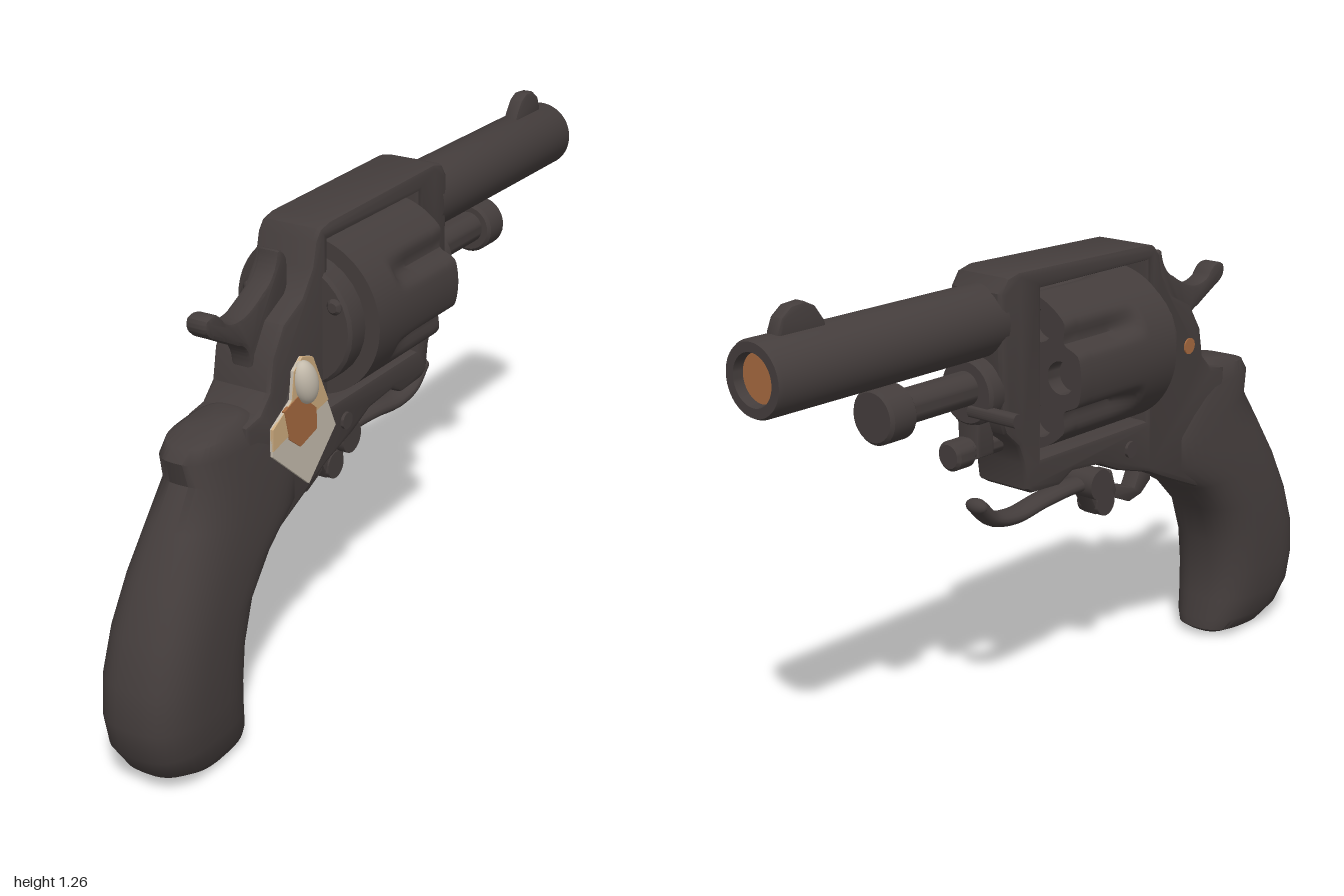
import * as THREE from 'three';
import { toCreasedNormals } from 'three/addons/utils/BufferGeometryUtils.js';

const mat = (name, color, extra = {}) => Object.assign(new THREE.MeshStandardMaterial({ color, ...extra }), { name });

export function createModel() {
  const model = new THREE.Group();
  const steel = mat('darkSteel', 0x443d3c);
  const cream = mat('wornCream', 0xc4bbac);
  const tan = mat('wornTan', 0xcdab7e);
  const brown = mat('wornBrown', 0xa5693f);

  const add = (name, geo, material = steel, x = 0, y = 0, z = 0) => {
    const mesh = new THREE.Mesh(geo, material);
    mesh.name = name;
    mesh.position.set(x, y, z);
    model.add(mesh);
    return mesh;
  };
  const crease = (geo, angle = 0.6) => toCreasedNormals(geo, angle);
  const pts = list => list.map(([a, b]) => new THREE.Vector2(a, b));
  // Side profile given as (z, y), extruded across x and centred
  const sideProfile = (shape, width, bevel = 0.01) => {
    const depth = width - 2 * bevel;
    const geo = new THREE.ExtrudeGeometry(shape, {
      depth, bevelEnabled: bevel > 0, bevelSize: bevel, bevelThickness: bevel,
      bevelOffset: -bevel, bevelSegments: 2, curveSegments: 16,
    });
    geo.translate(0, 0, -depth / 2).rotateY(-Math.PI / 2);
    return crease(geo);
  };
  // Turned part along the barrel axis: points are (radius, forward distance)
  const turned = (list, segments = 40) => crease(new THREE.LatheGeometry(pts(list), segments).rotateX(-Math.PI / 2));
  const rod = (r, z0, z1) => turned([[0, -z0], [r - 0.008, -z0], [r, 0.008 - z0], [r, -z1 - 0.008], [r - 0.008, -z1], [0, -z1]], 28);
  const crossPin = (r, length) => crease(new THREE.CylinderGeometry(r, r, length, 24).rotateZ(Math.PI / 2));

  // Frame with an opening for the cylinder
  const frame = new THREE.Shape(pts([
    [0.3, 1.215], [0.26, 1.225], [-0.23, 1.235], [-0.27, 1.225], [-0.295, 1.19], [-0.295, 0.88], [-0.28, 0.84],
    [-0.235, 0.8], [-0.215, 0.75], [-0.205, 0.68], [-0.18, 0.665], [-0.08, 0.66], [-0.03, 0.685], [0.08, 0.675],
    [0.16, 0.64], [0.28, 0.605], [0.38, 0.56], [0.52, 0.5], [0.62, 0.6], [0.62, 0.83], [0.56, 0.84], [0.52, 0.88],
    [0.505, 0.96], [0.46, 1.03], [0.38, 1.07], [0.335, 1.13], [0.32, 1.19],
  ]));
  frame.holes.push(new THREE.Path(pts([[-0.15, 0.75], [-0.15, 1.18], [0.27, 1.18], [0.27, 0.75]])));
  add('frame', sideProfile(frame, 0.17, 0.014));

  // Barrel, bore and front sight
  const barrelY = 1.115;
  add('barrel', turned([[0.09, 0.27], [0.09, 0.99], [0.085, 1], [0.062, 1], [0.056, 0.96]], 48), steel, 0, barrelY);
  add('bore', new THREE.CircleGeometry(0.06, 32).rotateY(Math.PI), brown, 0, barrelY, -0.975);
  const sight = new THREE.Shape(pts([[-0.94, 1.18], [-0.79, 1.18], [-0.8, 1.215], [-0.825, 1.25], [-0.855, 1.265],
    [-0.895, 1.262], [-0.925, 1.24], [-0.938, 1.21]]));
  add('frontSight', sideProfile(sight, 0.04, 0.008));

  // Fluted cylinder, with open chambers in its front plate
  const R = 0.205, axisY = 0.965;
  const flutedRadius = (angle, strength) => {
    const step = Math.PI / 3;
    const off = ((angle % step) + step) % step - step / 2;
    const t = Math.min(1, Math.abs(off) / 0.25);
    return R - 0.032 * strength * (0.5 + 0.5 * Math.cos(Math.PI * t));
  };
  const body = new THREE.CylinderGeometry(R, R, 0.335, 120, 28).rotateX(Math.PI / 2).translate(0, 0, 0.0675);
  const p = body.attributes.position;
  for (let i = 0; i < p.count; i++) {
    const x = p.getX(i), y = p.getY(i), z = p.getZ(i);
    if (Math.hypot(x, y) < 0.1) continue;
    const angle = Math.atan2(y, x);
    const r = flutedRadius(angle, Math.sqrt(THREE.MathUtils.clamp((0.12 - z) / 0.1, 0, 1)));
    p.setXY(i, r * Math.cos(angle), r * Math.sin(angle));
  }
  add('cylinder', crease(body), steel, 0, axisY);
  const plate = new THREE.Shape();
  for (let i = 0; i < 120; i++) {
    const a = i / 120 * Math.PI * 2, r = flutedRadius(a, 1);
    plate[i ? 'lineTo' : 'moveTo'](r * Math.cos(a), r * Math.sin(a));
  }
  for (let i = 0; i < 6; i++) {
    const a = i * Math.PI / 3;
    plate.holes.push(new THREE.Path().absarc(0.14 * Math.cos(a), 0.14 * Math.sin(a), 0.042, 0, Math.PI * 2, true));
  }
  add('cylinderFront', crease(new THREE.ExtrudeGeometry(plate, { depth: 0.046, bevelEnabled: false, curveSegments: 16 })),
    steel, 0, axisY, -0.145);
  add('recoilShield', rod(0.165, 0.3, 0.225), steel, 0, axisY);
  for (const side of [-1, 1]) {
    add('shieldScrew', rod(0.02, 0.312, 0.28), steel, side * 0.12, 1.03);
    add('frameScrew', crossPin(0.022, 0.012), steel, side * 0.087, 0.69, 0.2);
  }

  // Ejector rod, collar and swivel under the barrel
  add('ejectorCollar', rod(0.085, -0.28, -0.335), steel, 0, 0.945);
  add('ejectorRod', rod(0.043, -0.3, -0.6), steel, 0, 0.955);
  add('ejectorHead', rod(0.068, -0.565, -0.65), steel, 0, 0.952);
  add('swivelRod', rod(0.03, -0.2, -0.36), steel, 0, 0.8);
  add('swivelKnob', rod(0.038, -0.335, -0.4), steel, 0, 0.797);
  add('swivelLug', sideProfile(new THREE.Shape(pts([[-0.27, 0.78], [-0.27, 0.93], [-0.33, 0.93], [-0.33, 0.78]])), 0.07));
  add('swivelPin', crossPin(0.018, 0.15), steel, -0.085, 0.9, -0.325);

  // Hammer
  const hammer = new THREE.Shape();
  hammer.moveTo(0.36, 0.95);
  hammer.lineTo(0.36, 1.15);
  hammer.quadraticCurveTo(0.375, 1.185, 0.4, 1.18);
  hammer.quadraticCurveTo(0.41, 1.12, 0.46, 1.1);
  hammer.quadraticCurveTo(0.55, 1.04, 0.61, 1.075);
  hammer.quadraticCurveTo(0.64, 1.12, 0.68, 1.1);
  hammer.quadraticCurveTo(0.695, 1.07, 0.66, 1.05);
  hammer.quadraticCurveTo(0.61, 1.025, 0.565, 1.0);
  hammer.quadraticCurveTo(0.52, 0.99, 0.515, 0.93);
  add('hammer', sideProfile(hammer, 0.06));

  // Folding trigger with its hinge
  const triggerPath = new THREE.CatmullRomCurve3([[0.16, 0.6], [0.05, 0.605], [-0.06, 0.598], [-0.17, 0.585], [-0.25, 0.6],
    [-0.3, 0.645]].map(([z, y]) => new THREE.Vector3(0, y, z)));
  const trigger = new THREE.TubeGeometry(triggerPath, 40, 0.02, 14).scale(1.7, 1, 1);
  add('trigger', trigger);
  add('triggerTip', new THREE.SphereGeometry(0.02, 16, 12).scale(1.7, 1, 1), steel, 0, 0.645, -0.3);
  add('triggerHinge', crossPin(0.042, 0.11), steel, 0, 0.605, 0.12);
  add('triggerHeel', crossPin(0.036, 0.07), steel, 0, 0.54, 0.165);
  add('triggerNeck', sideProfile(new THREE.Shape(pts([[0.09, 0.6], [0.2, 0.62], [0.22, 0.56], [0.19, 0.51], [0.14, 0.51]])), 0.06));
  add('triggerSpring', sideProfile(new THREE.Shape(pts([[0.22, 0.57], [0.21, 0.54], [0.28, 0.51], [0.33, 0.52],
    [0.37, 0.55], [0.37, 0.6], [0.33, 0.6], [0.3, 0.545]])), 0.05, 0.005));

  // Grip lofted through rounded sections: back z, back y, front z, front y, half width
  const sections = [
    [0.7, 0.84, 0.57, 0.85, 0.05], [0.765, 0.82, 0.53, 0.84, 0.072], [0.785, 0.79, 0.46, 0.78, 0.085],
    [0.77, 0.73, 0.36, 0.655, 0.098], [0.83, 0.64, 0.38, 0.565, 0.11], [0.9, 0.525, 0.5, 0.495, 0.119],
    [0.955, 0.41, 0.59, 0.41, 0.126], [0.99, 0.3, 0.632, 0.3, 0.13], [1, 0.2, 0.642, 0.2, 0.129],
    [0.987, 0.12, 0.637, 0.12, 0.123], [0.945, 0.055, 0.622, 0.06, 0.108], [0.87, 0.018, 0.62, 0.03, 0.09],
    [0.8, 0.006, 0.64, 0.016, 0.06],
  ];
  const N = 40, pos = [], index = [];
  const soft = v => Math.sign(v) * Math.pow(Math.abs(v), 0.72);
  for (const [bz, by, fz, fy, w] of sections) {
    for (let j = 0; j < N; j++) {
      const a = j / N * Math.PI * 2, t = 0.5 - 0.5 * soft(Math.cos(a));
      pos.push(w * soft(Math.sin(a)), by + (fy - by) * t, bz + (fz - bz) * t);
    }
  }
  for (let i = 0; i < sections.length - 1; i++) {
    for (let j = 0; j < N; j++) {
      const a = i * N + j, b = i * N + (j + 1) % N;
      index.push(a, a + N, b, b, a + N, b + N);
    }
  }
  const last = (sections.length - 1) * N, centre = sections.length * N;
  for (const [bz, by, fz, fy] of [sections[0], sections.at(-1)]) pos.push(0, (by + fy) / 2, (bz + fz) / 2);
  for (let j = 0; j < N; j++) {
    const k = (j + 1) % N;
    index.push(centre, j, k, centre + 1, last + k, last + j);
  }
  const grip = new THREE.BufferGeometry();
  grip.setAttribute('position', new THREE.Float32BufferAttribute(pos, 3));
  grip.setIndex(index);
  add('grip', crease(grip, 0.8));

  // Worn patch on the left side, layered as thin plates
  const patch = (name, list, material, x) => add(name, sideProfile(new THREE.Shape(pts(list)), 0.008, 0), material, x);
  patch('sidePlate', [[0.54, 0.8], [0.46, 0.845], [0.45, 0.915], [0.415, 0.94], [0.37, 0.925], [0.27, 0.71], [0.39, 0.6],
    [0.54, 0.73]], cream, 0.098);
  patch('sidePlateWear', [[0.54, 0.8], [0.46, 0.845], [0.45, 0.915], [0.415, 0.94], [0.37, 0.925], [0.305, 0.79],
    [0.36, 0.78], [0.48, 0.76], [0.54, 0.745]], tan, 0.1);
  patch('sidePlateStain', [[0.495, 0.83], [0.43, 0.85], [0.36, 0.79], [0.36, 0.735], [0.43, 0.715], [0.475, 0.75]], brown, 0.102);
  add('sidePlateCore', sideProfile(new THREE.Shape(pts([[0.53, 0.79], [0.46, 0.835], [0.41, 0.93], [0.375, 0.915],
    [0.28, 0.71], [0.39, 0.61], [0.53, 0.735]])), 0.02, 0), steel, 0.085);
  const knob = add('gateKnob', new THREE.SphereGeometry(1, 24, 18).scale(0.03, 0.06, 0.036), cream, 0.107, 0.875, 0.41);
  knob.rotation.x = 0.3;
  add('wornSpot', crossPin(0.022, 0.008), brown, -0.085, 0.92, 0.45);

  return model;
}
